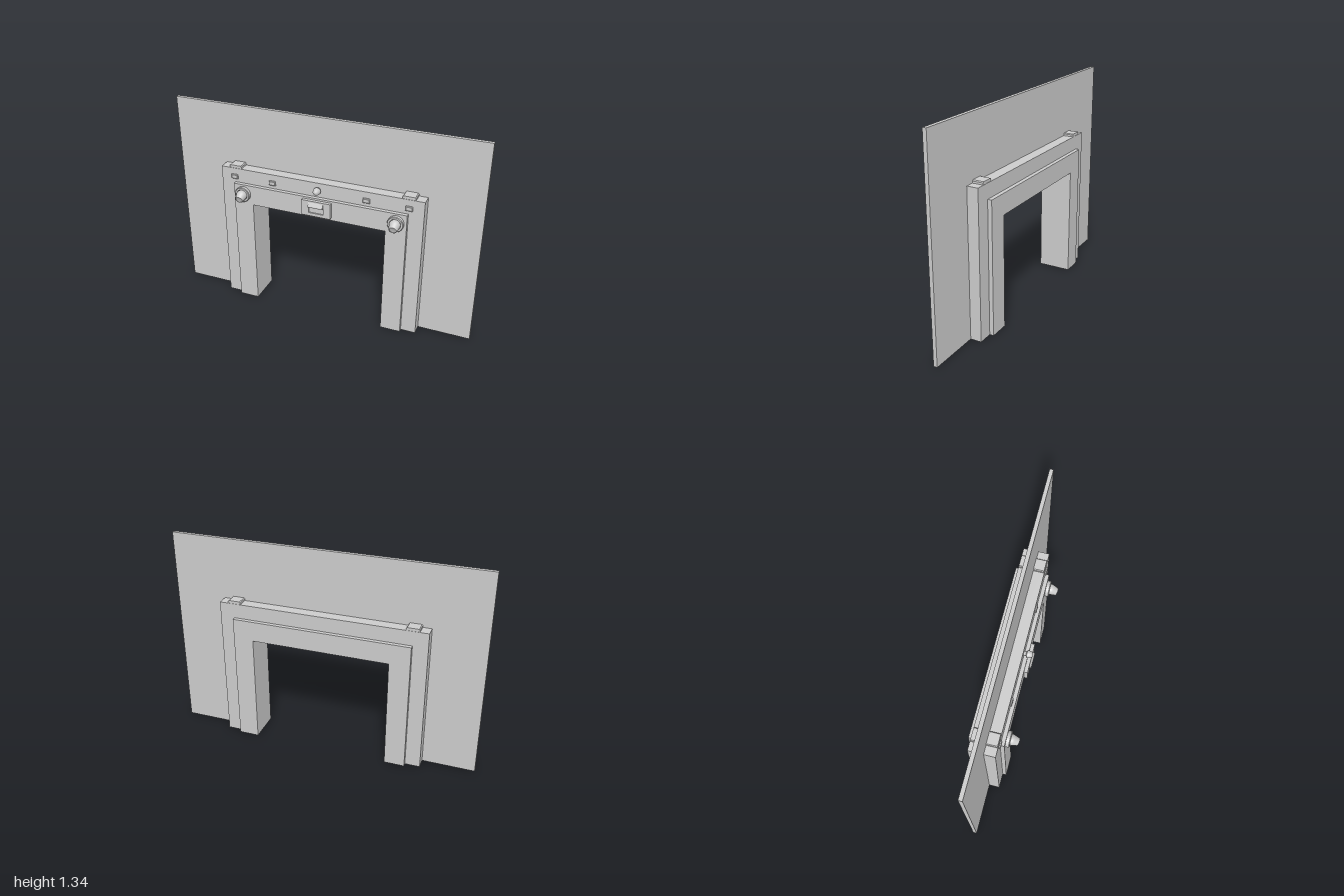
import * as THREE from 'three';

const material = new THREE.MeshStandardMaterial({ color: 0xcccccc, side: THREE.DoubleSide });

function add(parent, name, geometry, x = 0, y = 0, z = 0) {
  const mesh = new THREE.Mesh(geometry, material);
  mesh.name = name;
  mesh.position.set(x, y, z);
  parent.add(mesh);
  return mesh;
}

// Upside-down U outline around the doorway, extruded between two depths
function portal(halfWidth, height, zBack, zFront) {
  const w = 0.44, h = 0.715;
  const points = [
    [-halfWidth, 0], [-w, 0], [-w, h], [w, h], [w, 0],
    [halfWidth, 0], [halfWidth, height], [-halfWidth, height],
  ];
  const shape = new THREE.Shape(points.map(([x, y]) => new THREE.Vector2(x, y)));
  return new THREE.ExtrudeGeometry(shape, { depth: zFront - zBack, bevelEnabled: false }).translate(0, 0, zBack);
}

// Solid of revolution about +z from [radius, z] pairs
function turned(points) {
  return new THREE.LatheGeometry(points.map(([r, z]) => new THREE.Vector2(r, z)), 28).rotateX(Math.PI / 2);
}

function rectPath(path, x0, y0, x1, y1) {
  path.moveTo(x0, y0);
  path.lineTo(x1, y0);
  path.lineTo(x1, y1);
  path.lineTo(x0, y1);
  path.closePath();
  return path;
}

// Swivel lamp: fixed collar with a round head tilted downwards
function lamp(x) {
  const group = new THREE.Group();
  group.name = 'lamp';
  group.position.set(x, 0.785, 0.073);
  add(group, 'lampCollar', turned([
    [0, 0], [0.05, 0], [0.05, 0], [0.05, 0.02], [0.05, 0.02], [0.047, 0.024],
    [0.047, 0.024], [0.036, 0.024], [0.036, 0.024], [0.034, 0.018],
  ]));
  const profile = [];
  for (let i = 0; i <= 10; i++) {
    const a = -Math.PI / 2 + (i / 10) * (Math.PI / 2 + 0.35);
    profile.push([0.034 * Math.cos(a), 0.034 * Math.sin(a)]);
  }
  profile.push([0.025, 0.041], [0.025, 0.041], [0.021, 0.041], [0.021, 0.041], [0.02, 0.037], [0, 0.037]);
  add(group, 'lampHead', turned(profile), 0, 0, 0.028).rotation.x = 0.4;
  return group;
}

export function createModel() {
  const model = new THREE.Group();
  model.name = 'doorway';

  // Wall sheet, door casing and the narrower trim that shows on both sides
  add(model, 'wall', portal(1, 1.335, -0.046, -0.022));
  add(model, 'casing', portal(0.665, 0.94, -0.117, 0.048));
  add(model, 'trim', portal(0.57, 0.846, -0.143, 0.073));

  for (const side of [-1, 1]) {
    // Tapered clip over the casing
    const clip = new THREE.Shape([
      [-0.041, 0], [0.041, 0], [0.041, 0.012], [0.036, 0.018], [-0.036, 0.018], [-0.041, 0.012],
    ].map(([x, y]) => new THREE.Vector2(x, y)));
    add(model, 'topClip', new THREE.ExtrudeGeometry(clip, { depth: 0.16, bevelEnabled: false }), side * 0.568, 0.94, -0.115);

    // Small indicator blocks with chamfered faces
    for (const x of [0.31, 0.573]) {
      const block = rectPath(new THREE.Shape(), -0.018, -0.011, 0.018, 0.011);
      add(model, 'indicator', new THREE.ExtrudeGeometry(block, {
        depth: 0.007, bevelSize: 0.004, bevelThickness: 0.003, bevelSegments: 1,
      }), side * x, 0.884, 0.048);
    }
    model.add(lamp(side * 0.505));
  }

  // Sensor: flared stem with a rounded end
  add(model, 'sensor', turned([
    [0, 0], [0.014, 0], [0.014, 0.016], [0.014, 0.016], [0.024, 0.022], [0.024, 0.022],
    [0.022, 0.036], [0.019, 0.047], [0.012, 0.056], [0, 0.059],
  ]), 0, 0.897, 0.047);

  // Control panel: frame with a recess, inner plate and sloping hood
  const panel = new THREE.Group();
  panel.name = 'controlPanel';
  panel.position.set(0, 0.783, 0.073);
  model.add(panel);
  const face = rectPath(new THREE.Shape(), -0.095, -0.051, 0.095, 0.051);
  face.holes.push(rectPath(new THREE.Path(), -0.048, -0.03, 0.048, 0.03));
  add(panel, 'panelFrame', new THREE.ExtrudeGeometry(face, { depth: 0.022, bevelEnabled: false }));
  add(panel, 'recessPlate', new THREE.BoxGeometry(0.096, 0.06, 0.014), 0, 0, 0.007);

  const hood = new THREE.Shape([
    [0.01, 0.012], [0.034, 0.012], [0.034, 0.018], [0.022, 0.042], [0.01, 0.042],
  ].map(([z, y]) => new THREE.Vector2(-z, y)));
  add(panel, 'hood', new THREE.ExtrudeGeometry(hood, { depth: 0.096, bevelEnabled: false })
    .rotateY(Math.PI / 2).translate(-0.048, 0, 0));

  return model;
}
